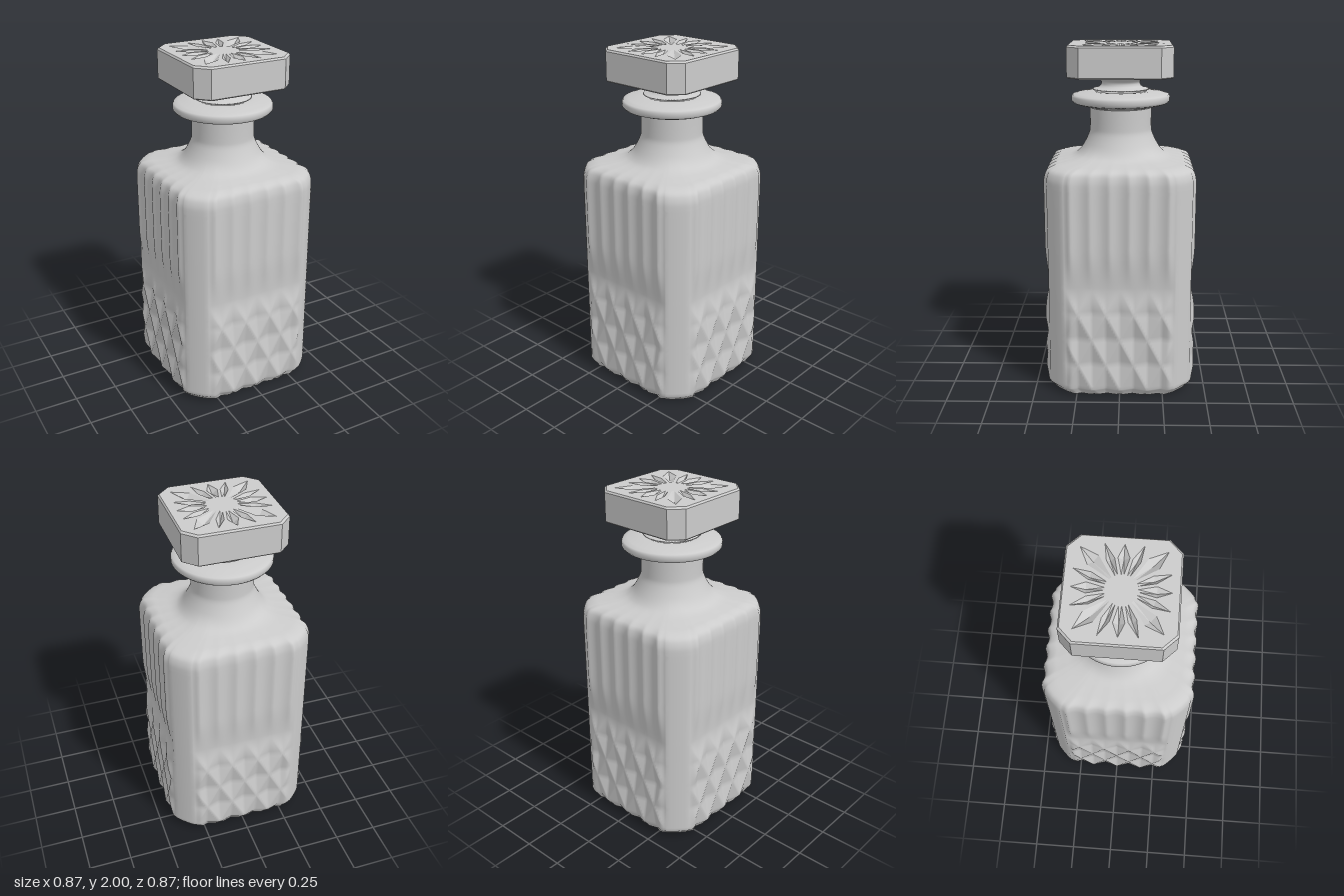
import * as THREE from 'three';
import { mergeGeometries } from 'three/addons/utils/BufferGeometryUtils.js';

const { smoothstep, lerp } = THREE.MathUtils;
const glass = new THREE.MeshStandardMaterial({ color: 0xcccccc, side: THREE.DoubleSide });

function addMesh(group, name, geometry) {
  const mesh = new THREE.Mesh(geometry, glass);
  mesh.name = name;
  group.add(mesh);
  return mesh;
}

// Faceted geometry from a list of triangle corners
function facets(points) {
  const g = new THREE.BufferGeometry().setFromPoints(points);
  g.computeVertexNormals();
  return g;
}

// Square with cut corners, counterclockwise
function cutSquare(h, c) {
  return [[h - c, -h], [h, c - h], [h, h - c], [h - c, h], [c - h, h], [-h, h - c], [-h, c - h], [c - h, -h]]
    .map(([x, y]) => new THREE.Vector2(x, y));
}

// Flat plate with a sixteen-petal star cut into it, facing up
function starPlate(half, cut, scale, depth) {
  const shape = new THREE.Shape(cutSquare(half, cut));
  const tris = [];
  for (let k = 0; k < 4; k++) {
    for (const [tx, ty, wide, hw] of [[0.25, 0, 0.175, 0.03], [0.247, 0.1, 0.175, 0.022],
      [0.222, 0.222, 0.215, 0.038], [0.1, 0.247, 0.175, 0.022]]) {
      const a = Math.atan2(ty, tx) + k * Math.PI / 2;
      const at = (r, s) => new THREE.Vector2(
        (r * Math.cos(a) - s * Math.sin(a)) * scale, (r * Math.sin(a) + s * Math.cos(a)) * scale);
      const rim = [at(0.083, -0.007), at(wide, -hw), at(Math.hypot(tx, ty), 0), at(wide, hw), at(0.083, 0.007)];
      shape.holes.push(new THREE.Path(rim));
      const deep = at(wide, 0);
      rim.forEach((p, i) => {
        const q = rim[(i + 1) % rim.length];
        tris.push(new THREE.Vector3(p.x, p.y, 0), new THREE.Vector3(q.x, q.y, 0),
          new THREE.Vector3(deep.x, deep.y, -depth));
      });
    }
  }
  const flat = new THREE.ShapeGeometry(shape).toNonIndexed();
  flat.deleteAttribute('uv');
  return mergeGeometries([flat, facets(tris)]).rotateX(-Math.PI / 2);
}

// How far a face stands out at u across and y up: cut diamonds below, flutes above
function faceDepth(u, y) {
  const edge = 1 - smoothstep(Math.abs(u), 0.275, 0.32);
  const p = u / 0.16, q = (y - 0.2) / 0.31;
  const toLine = (a) => Math.abs(a - 0.5 - Math.round(a - 0.5));
  const diamond = 1 - 2 * Math.min(toLine(p + q), toLine(p - q));
  const low = 1 - smoothstep(y, 0.48, 0.67);
  const high = smoothstep(y, 0.64, 0.88);
  const flute = 1 - Math.abs(Math.cos(Math.PI * u / 0.11)) * 0.65;
  return edge * (0.026 * diamond * low + 0.022 * flute * high);
}

// Body: square section with cut corners that turns round at the shoulder
function bodyGeometry() {
  const rows = [[0, 0.925, 0], [0.015, 0.945, 0], [0.035, 0.985, 0]];
  for (let j = 0; j <= 32; j++) rows.push([0.045 + j * 0.019375, 1, 0]);
  for (let y = 0.7; y < 1.22; y += 0.04) rows.push([y, 1, 0]);
  // height, section scale, roundness
  const shoulder = new THREE.CatmullRomCurve3([[1.22, 1, 0], [1.27, 0.995, 0], [1.31, 0.97, 0.02],
    [1.332, 0.91, 0.08], [1.345, 0.8, 0.3], [1.36, 0.66, 0.65], [1.385, 0.575, 0.9],
    [1.42, 0.515, 1], [1.465, 0.46, 1], [1.5, 0.43, 1], [1.53, 0.425, 1], [1.65, 0.425, 1]]
    .map((p) => new THREE.Vector3(...p)));
  for (const p of shoulder.getPoints(44)) rows.push([p.x, p.y, Math.min(1, Math.max(0, p.z))]);

  const F = 64, C = 6, cols = 4 * (F + C), pos = [], idx = [];
  for (const [y, s, t] of rows) {
    for (let i = 0; i < cols; i++) {
      const k = Math.floor(i / (F + C)), m = i % (F + C);
      let u, d;
      if (m <= F) {
        u = -0.32 + 0.64 * m / F;
        d = 0.41 + faceDepth(u, y) * (1 - t);
      } else {
        const f = (m - F) / C, bulge = 0.012 * f * (1 - f);
        u = lerp(0.32, 0.41, f) + bulge;
        d = lerp(0.41, 0.32, f) + bulge;
      }
      const r = Math.hypot(u, d), g = s * lerp(1, 0.42 / r, t);
      const c = [1, 0, -1, 0][k], n = [0, 1, 0, -1][k];
      pos.push((u * c + d * n) * g, y, (d * c - u * n) * g);
    }
  }
  const rad = (v) => Math.hypot(pos[3 * v], pos[3 * v + 2]);
  for (let j = 0; j < rows.length - 1; j++) {
    for (let i = 0; i < cols; i++) {
      const a = j * cols + i, b = j * cols + (i + 1) % cols, c = b + cols, d = a + cols;
      // split each quad along its ridge
      if (rad(a) + rad(c) >= rad(b) + rad(d)) idx.push(a, b, c, a, c, d);
      else idx.push(a, b, d, b, c, d);
    }
  }
  const g = new THREE.BufferGeometry();
  g.setAttribute('position', new THREE.Float32BufferAttribute(pos, 3));
  g.setIndex(idx);
  g.computeVertexNormals();
  return g;
}

// Stopper block sides with a small bevel at both ends
function blockGeometry() {
  const loops = [[1.82, 0.288], [1.827, 0.295], [1.99, 0.295], [2, 0.287]].map(([y, h]) =>
    cutSquare(h, 0.07).map((p) => new THREE.Vector3(p.x, y, -p.y)));
  const tris = [];
  for (let j = 0; j < 3; j++) {
    for (let i = 0; i < 8; i++) {
      const n = (i + 1) % 8, a = loops[j][i], b = loops[j][n], c = loops[j + 1][n], d = loops[j + 1][i];
      tris.push(a, b, c, a, c, d);
    }
  }
  return facets(tris);
}

const lathe = (pts) => new THREE.LatheGeometry(pts.map((p) => new THREE.Vector2(...p)), 64);

export function createModel() {
  const model = new THREE.Group();

  const bottle = new THREE.Group();
  bottle.name = 'bottle';
  addMesh(bottle, 'body', bodyGeometry());
  addMesh(bottle, 'baseStar', starPlate(0.379, 0.083, 1.25, 0.025).rotateX(Math.PI));
  addMesh(bottle, 'lip', lathe([[0.178, 1.635], [0.2, 1.645], [0.25, 1.655], [0.275, 1.664], [0.285, 1.676],
    [0.285, 1.698], [0.278, 1.71], [0.25, 1.718], [0.21, 1.724], [0.18, 1.73], [0.15, 1.73]]));

  const stopper = new THREE.Group();
  stopper.name = 'stopper';
  addMesh(stopper, 'stopperNeck', lathe([[0, 1.738], [0.165, 1.738], [0.16, 1.743], [0.135, 1.748], [0.118, 1.758],
    [0.11, 1.772], [0.114, 1.786], [0.13, 1.797], [0.142, 1.805], [0.145, 1.821]]));
  addMesh(stopper, 'stopperBlock', blockGeometry());
  addMesh(stopper, 'stopperStar', starPlate(0.287, 0.07, 1, 0.025)).position.y = 2;
  const under = new THREE.ShapeGeometry(new THREE.Shape(cutSquare(0.288, 0.07))).rotateX(Math.PI / 2);
  addMesh(stopper, 'stopperUnderside', under).position.y = 1.82;

  model.add(bottle, stopper);
  return model;
}
